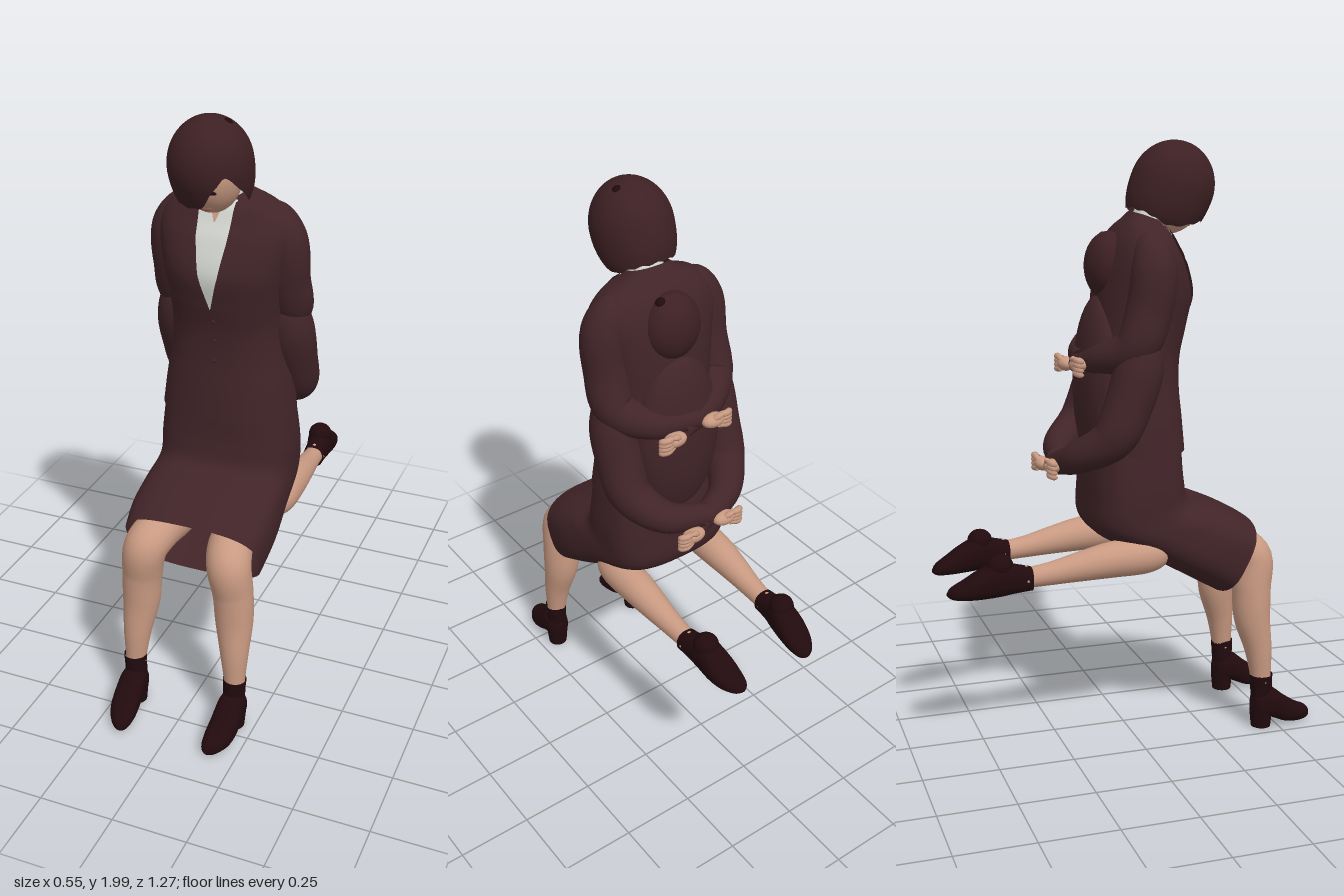
import * as THREE from 'three';
import { ParametricGeometry } from 'three/addons/geometries/ParametricGeometry.js';

const flat = (name, color) => {
  const m = new THREE.MeshStandardMaterial({ color, side: THREE.DoubleSide });
  m.name = name;
  return m;
};
const M = {
  suit: flat('suit', 0x412428), hair: flat('hair', 0x3d2023), boot: flat('boot', 0x210a0e),
  skin: flat('skin', 0xc99a82), shirt: flat('shirt', 0xd3d6d1), dark: flat('dark', 0x22110f), lips: flat('lips', 0xa8665c),
};
const { abs, sign, sin, cos, PI, exp } = Math;

// Smooth interpolation through a list of rows
function sample(rows, t) {
  const n = rows.length - 1, f = Math.min(Math.max(t, 0), 1) * n;
  const i = Math.min(Math.floor(f), n - 1), k = f - i;
  const a = rows[Math.max(i - 1, 0)], b = rows[i], c = rows[i + 1], d = rows[Math.min(i + 2, n)];
  return b.map((q, j) => q + 0.5 * k * (c[j] - a[j] + k * (2 * a[j] - 5 * q + 4 * c[j] - d[j] + k * (3 * (q - c[j]) + d[j] - a[j]))));
}

function add(group, name, geometry, material) {
  const mesh = new THREE.Mesh(geometry, material);
  mesh.name = name;
  group.add(mesh);
  return mesh;
}
const surface = (fn, nu, nv) => new ParametricGeometry((u, v, out) => out.set(...fn(u, v)), nu, nv);

// Rounded sections; row = [y front, z front, y back, z back, half width, centre x]
function loft(rows, p = 2.4, nu = 40, nv = 36) {
  return surface((u, v) => {
    const [yF, zF, yB, zB, rx, cx = 0] = sample(rows, v);
    const c = cos(u * 2 * PI), s = -sin(u * 2 * PI);
    const C = sign(c) * abs(c) ** (2 / p), S = sign(s) * abs(s) ** (2 / p);
    return [cx + rx * C, (yF + yB + S * (yF - yB)) / 2, (zF + zB + S * (zF - zB)) / 2];
  }, nu, nv);
}

// Round limb along a curve; point = [x, y, z, radius]
function limb(pts, ref, nu = 20, nv = 30) {
  const curve = new THREE.CatmullRomCurve3(pts.map(q => new THREE.Vector3(q[0], q[1], q[2])));
  const axis = new THREE.Vector3(...ref), T = new THREE.Vector3(), N = new THREE.Vector3(), B = new THREE.Vector3(), P = new THREE.Vector3();
  const radii = pts.map(q => [q[3]]);
  return surface((u, v) => {
    curve.getPoint(v, P);
    curve.getTangent(v, T);
    N.crossVectors(T, axis).normalize();
    B.crossVectors(T, N);
    const r = Math.max(sample(radii, v)[0], 0.0005), a = u * 2 * PI;
    P.addScaledVector(N, r * cos(a)).addScaledVector(B, r * sin(a));
    return [P.x, P.y, P.z];
  }, nu, nv);
}

function ball(group, name, mat, pos, scale, segs = 24) {
  const m = add(group, name, new THREE.SphereGeometry(1, segs, Math.round(segs * 0.7)), mat);
  m.position.set(...pos);
  m.scale.set(...scale);
  return m;
}

// Jacket body sections, hem to neck
const body = [
  [0.99, 0.19, 0.99, -0.125, 0.225], [1.1, 0.182, 1.1, -0.135, 0.212], [1.2, 0.174, 1.2, -0.13, 0.195],
  [1.3, 0.177, 1.3, -0.115, 0.186], [1.4, 0.198, 1.4, -0.105, 0.19], [1.5, 0.213, 1.5, -0.095, 0.203],
  [1.6, 0.185, 1.6, -0.075, 0.218], [1.66, 0.155, 1.67, -0.05, 0.205], [1.7, 0.137, 1.715, -0.022, 0.16],
  [1.715, 0.128, 1.745, 0.005, 0.1], [1.73, 0.122, 1.765, 0.022, 0.07],
];
const BODY_P = 2.4;
function chestZ(x, y) {
  let lo = 0, hi = 1;
  for (let i = 0; i < 24; i++) {
    const mid = (lo + hi) / 2;
    if (sample(body, mid)[0] < y) lo = mid; else hi = mid;
  }
  const [, zF, , zB, rx] = sample(body, lo);
  return (zF + zB) / 2 + (zF - zB) / 2 * Math.max(0, 1 - abs(x / rx) ** BODY_P) ** (1 / BODY_P);
}
// Thin plate lying on the chest; row = [y, x from, x to]
const plate = (rows, lift, nv = 24) => surface((u, v) => {
  const f = v * (rows.length - 1), i = Math.min(Math.floor(f), rows.length - 2);
  const [y, a, b] = rows[i].map((q, j) => q + (rows[i + 1][j] - q) * (f - i));
  const x = a + (b - a) * u;
  return [x, y, chestZ(x, y) + lift];
}, 10, nv);

function addHand(group, s, x, y, z) {
  const hand = new THREE.Group();
  hand.name = 'hand';
  ball(hand, 'palm', M.skin, [0, 0, 0], [0.042, 0.024, 0.028], 16);
  for (let i = 0; i < 4; i++) {
    const d = (i - 1.5) * 0.014;
    add(hand, 'finger', limb([[-s * 0.015, d * 0.8, -0.01, 0.011], [-s * 0.042, d, -0.018, 0.011], [-s * 0.058, d - 0.004, -0.006, 0.01],
      [-s * 0.05, d - 0.007, 0.006, 0.001]], [0, 1, 0], 8, 10), M.skin);
  }
  add(hand, 'thumb', limb([[s * 0.01, 0.008, -0.01, 0.011], [-s * 0.012, 0.022, -0.02, 0.01], [-s * 0.035, 0.024, -0.022, 0.001]], [0, 0, 1], 8, 10), M.skin);
  hand.position.set(x, y, z);
  group.add(hand);
}

function addHead(g) {
  const head = new THREE.Group();
  head.name = 'head';
  head.position.set(-0.008, 1.845, 0.165);
  head.rotation.x = 0.4;
  ball(head, 'face', M.skin, [0.003, -0.025, 0.014], [0.094, 0.128, 0.106], 32);
  ball(head, 'nose', M.skin, [0.006, -0.045, 0.118], [0.012, 0.022, 0.018], 12);
  ball(head, 'lips', M.lips, [0.006, -0.09, 0.102], [0.022, 0.008, 0.006], 12);
  for (const s of [1, -1]) {
    ball(head, 'eye', M.dark, [s * 0.036 + 0.006, -0.02, 0.111], [0.016, 0.007, 0.004], 12);
    ball(head, 'brow', M.dark, [s * 0.038 + 0.006, 0.004, 0.109], [0.02, 0.003, 0.005], 12);
  }
  // Bob cut: side-swept fringe, opening over one eye
  const bump = (d, w) => exp(-((d / w) ** 2));
  add(head, 'hair', surface((u, v) => {
    const phi = (u * 2 - 1) * PI;
    const rim = 2.5 - 1.12 * bump(phi - 0.72, 0.58) - 0.4 * bump(phi + 0.45, 0.6) + 0.15 * bump(abs(phi) - 1.6, 0.4) + 0.03 * sin(phi * 14);
    const th = rim + (0.01 - rim) * v;
    const r = th < PI / 2 ? sin(th) : 1 - 0.2 * (th - PI / 2) ** 2;
    return [0.13 * r * sin(phi), 0.15 * cos(th), 0.14 * r * cos(phi)];
  }, 72, 32), M.hair);
  ball(head, 'crownWhorl', M.boot, [0.05, 0.11, -0.05], [0.02, 0.02, 0.02], 12);
  g.add(head);
}

export function createModel() {
  const g = new THREE.Group();
  g.name = 'seatedAndKneelingFigure';

  // Torso and clothes
  add(g, 'jacket', loft(body, BODY_P, 48, 60), M.suit);
  ball(g, 'rearTorso', M.suit, [0, 1.2, -0.08], [0.16, 0.3, 0.085], 32);
  add(g, 'skirt', loft([
    [0.725, 0.425, 0.48, 0.3, 0.234], [0.76, 0.36, 0.555, 0.17, 0.244], [0.795, 0.28, 0.635, 0.03, 0.238],
    [0.825, 0.2, 0.72, -0.125, 0.23], [0.9, 0.178, 0.85, -0.138, 0.229], [1.02, 0.17, 1.02, -0.115, 0.212],
  ], 3, 56, 44), M.suit);
  add(g, 'skirtLining', loft([[0.768, 0.31, 0.6, 0.09, 0.237], [0.7, 0.2, 0.68, 0.17, 0.001]], 3, 40, 6), M.suit);
  add(g, 'shirtFront', plate([[1.385, -0.002, 0.002], [1.5, -0.034, 0.034], [1.62, -0.054, 0.054], [1.725, -0.06, 0.06]], 0.004), M.shirt);
  add(g, 'throat', plate([[1.66, -0.002, 0.002], [1.722, -0.026, 0.026]], 0.006, 6), M.skin);
  add(g, 'shirtCollar', loft([[1.69, 0.135, 1.735, 0.025, 0.066], [1.72, 0.135, 1.78, 0.045, 0.056]], 2, 32, 4), M.shirt);
  add(g, 'neck', limb([[0, 1.62, 0.07, 0.052], [0, 1.72, 0.1, 0.049], [0, 1.82, 0.14, 0.05]], [1, 0, 0]), M.skin);
  for (const s of [1, -1]) {
    // Collar and lapel, mirrored
    const rows = [[1.385, 0.002, 0.008], [1.5, 0.032, 0.085], [1.6, 0.05, 0.125], [1.615, 0.052, 0.1], [1.64, 0.054, 0.135], [1.72, 0.058, 0.08]];
    add(g, 'lapel', plate(rows.map(([y, a, b]) => s > 0 ? [y, a, b] : [y, -b, -a]), 0.009, 30), M.suit);
    add(g, 'shirtCollarTip', plate([[1.65, s * 0.026 - 0.002, s * 0.026 + 0.002], [1.715, s * 0.042 - 0.017, s * 0.042 + 0.017]], 0.009, 6), M.shirt);
  }
  for (const y of [1.2, 1.27, 1.34]) ball(g, 'jacketButton', M.suit, [0.005, y, chestZ(0, y)], [0.007, 0.007, 0.004], 10);

  // Heads
  addHead(g);
  ball(g, 'rearHead', M.hair, [0, 1.59, -0.05], [0.1, 0.113, 0.08], 32);
  ball(g, 'rearCrownWhorl', M.boot, [0.04, 1.68, -0.055], [0.02, 0.02, 0.02], 12);

  for (const s of [1, -1]) {
    // Upper pair of arms, wrists crossed behind the back
    add(g, 'upperSleeve', limb([[s * 0.1, 1.69, 0.04, 0.02], [s * 0.15, 1.66, 0.04, 0.056], [s * 0.185, 1.59, 0.042, 0.074], [s * 0.19, 1.46, 0.025, 0.075],
      [s * 0.19, 1.345, -0.02, 0.07], [s * 0.11, 1.3, -0.105, 0.052], [-s * 0.03, 1.28 + s * 0.012, -0.15, 0.034]], [0, 0, 1], 24, 48), M.suit);
    addHand(g, s, -s * 0.075, 1.272 + s * 0.008, -0.178);
    // Lower pair of arms
    add(g, 'lowerSleeve', limb([[s * 0.15, 1.4, 0, 0.001], [s * 0.175, 1.36, 0, 0.06], [s * 0.19, 1.28, -0.008, 0.08], [s * 0.195, 1.16, -0.045, 0.078],
      [s * 0.192, 1.055, -0.095, 0.07], [s * 0.12, 0.985, -0.19, 0.054], [-s * 0.02, 0.95 + s * 0.012, -0.232, 0.038]], [0, 0, 1], 24, 48), M.suit);
    addHand(g, s, -s * 0.062, 0.94 + s * 0.008, -0.265);

    // Seated legs
    add(g, 'frontLeg', limb([[s * 0.12, 0.635, 0.24, 0.075], [s * 0.13, 0.638, 0.35, 0.074], [s * 0.147, 0.605, 0.408, 0.073], [s * 0.162, 0.5, 0.408, 0.067],
      [s * 0.167, 0.4, 0.41, 0.063], [s * 0.176, 0.28, 0.432, 0.047], [s * 0.181, 0.16, 0.443, 0.034]], [1, 0, 0], 24, 40), M.skin);
    add(g, 'frontBootShaft', limb([[s * 0.18, 0.05, 0.448, 0.038], [s * 0.18, 0.12, 0.445, 0.037], [s * 0.182, 0.19, 0.443, 0.039]], [1, 0, 0]), M.boot);
    ball(g, 'frontBootCutout', M.skin, [s * 0.181, 0.168, 0.444], [0.0405, 0.011, 0.013], 16);
    add(g, 'frontBoot', loft([[0.022, 0.637, 0.012, 0.637, 0.002, s * 0.158], [0.045, 0.622, 0.003, 0.622, 0.026, s * 0.162], [0.066, 0.58, 0.002, 0.58, 0.044, s * 0.172],
      [0.1, 0.53, 0.008, 0.53, 0.048, s * 0.178], [0.14, 0.475, 0.03, 0.475, 0.045, s * 0.18], [0.13, 0.425, 0.035, 0.425, 0.038, s * 0.181],
      [0.1, 0.403, 0.05, 0.403, 0.002, s * 0.181]], 2.4, 24, 28), M.boot);
    add(g, 'frontHeel', new THREE.CylinderGeometry(0.04, 0.034, 0.06, 20), M.boot).position.set(s * 0.181, 0.03, 0.445);

    // Kneeling legs
    add(g, 'rearLeg', limb([[s * 0.165, 0.655, 0.11, 0.001], [s * 0.168, 0.655, 0.08, 0.045], [s * 0.171, 0.652, 0.02, 0.062], [s * 0.171, 0.645, -0.1, 0.059],
      [s * 0.17, 0.632, -0.2, 0.049], [s * 0.167, 0.617, -0.3, 0.038], [s * 0.164, 0.608, -0.39, 0.033]], [1, 0, 0], 24, 36), M.skin);
    add(g, 'rearBoot', loft([[0.645, -0.365, 0.568, -0.365, 0.037, s * 0.165], [0.658, -0.42, 0.562, -0.42, 0.039, s * 0.162], [0.672, -0.47, 0.554, -0.47, 0.046, s * 0.157],
      [0.645, -0.53, 0.55, -0.53, 0.05, s * 0.153], [0.613, -0.58, 0.55, -0.58, 0.045, s * 0.147], [0.59, -0.62, 0.553, -0.62, 0.028, s * 0.139],
      [0.572, -0.636, 0.564, -0.636, 0.002, s * 0.135]], 2.4, 24, 28), M.boot);
    ball(g, 'rearBootCutout', M.skin, [s * 0.165, 0.607, -0.383], [0.0395, 0.013, 0.011], 16);
    ball(g, 'rearBootBackCutout', M.skin, [s * 0.165, 0.63, -0.383], [0.012, 0.022, 0.011], 16);
    ball(g, 'rearHeel', M.boot, [s * 0.159, 0.655, -0.465], [0.042, 0.039, 0.042]);
  }
  return g;
}
